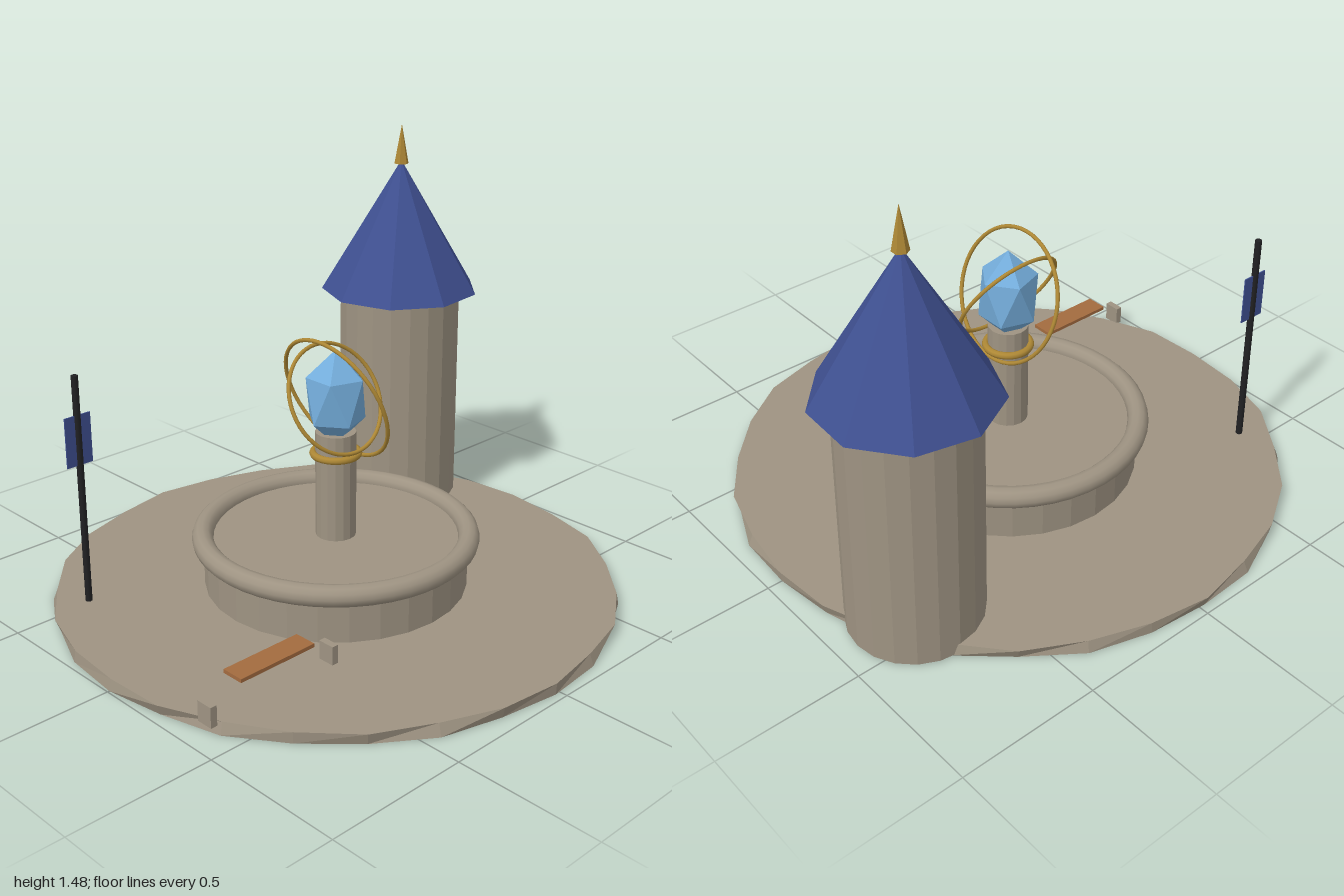
import * as THREE from 'three';

const mat = (name, color) => {
  const m = new THREE.MeshStandardMaterial({ color });
  m.name = name;
  return m;
};

// Faceted version of a geometry
function flat(geometry) {
  const g = geometry.index ? geometry.toNonIndexed() : geometry;
  g.computeVertexNormals();
  return g;
}

export function createModel() {
  const stone = mat('stone', 0x9e9382);
  const blue = mat('roofBlue', 0x3f5091);
  const crystalBlue = mat('crystalBlue', 0x74addb);
  const gold = mat('gold', 0xae8835);
  const wood = mat('wood', 0xa36b3f);
  const iron = mat('iron', 0x212123);

  const model = new THREE.Group();
  model.name = 'fountainPlaza';
  const add = (parent, name, geometry, material, x, y, z) => {
    const m = new THREE.Mesh(geometry, material);
    m.name = name;
    m.position.set(x, y, z);
    parent.add(m);
    return m;
  };
  const group = (name, x, y, z) => {
    const g = new THREE.Group();
    g.name = name;
    g.position.set(x, y, z);
    model.add(g);
    return g;
  };
  const cylinder = (r, h, n) => flat(new THREE.CylinderGeometry(r, r, h, n));

  // Plaza slab with a roughly cut rim
  const slab = new THREE.CylinderGeometry(0.98, 0.98, 0.04, 28);
  const p = slab.attributes.position;
  for (let i = 0; i < p.count; i++) {
    const x = p.getX(i), z = p.getZ(i);
    const step = Math.round(Math.atan2(z, x) / (Math.PI * 2) * 28 + 28) % 28;
    const k = 1 - 0.009 * (1 + Math.sin(step * 2.3 + (p.getY(i) > 0 ? 0 : 2.6)));
    p.setXYZ(i, x * k, p.getY(i), z * k);
  }
  add(model, 'plaza', flat(slab), stone, -0.02, 0.02, 0);

  // Fountain basin, rim and column
  const fountain = group('fountain', -0.02, 0, 0);
  add(fountain, 'basin', cylinder(0.456, 0.17, 28), stone, 0, 0.125, 0);
  add(fountain, 'basinRim', new THREE.TorusGeometry(0.459, 0.037, 12, 48), stone, 0, 0.212, 0).rotation.x = Math.PI / 2;
  add(fountain, 'column', cylinder(0.07, 0.39, 16), stone, 0, 0.395, 0);
  add(fountain, 'columnBand', new THREE.TorusGeometry(0.077, 0.013, 8, 32), gold, 0, 0.511, 0).rotation.x = Math.PI / 2;

  // Tall crystal standing on a point
  const crystal = new THREE.IcosahedronGeometry(0.113, 0);
  crystal.rotateZ(-Math.atan(2 / (1 + Math.sqrt(5))));
  crystal.scale(1, 1.5, 1);
  add(fountain, 'crystal', flat(crystal), crystalBlue, 0, 0.71, 0);

  // Two tilted rings around the crystal
  add(fountain, 'innerRing', new THREE.TorusGeometry(0.193, 0.007, 8, 48), gold, 0, 0.707, 0).rotation.x = -0.52;
  const outerRing = new THREE.TorusGeometry(0.231, 0.007, 8, 48);
  outerRing.rotateY(Math.PI / 2);
  add(fountain, 'outerRing', outerRing, gold, 0, 0.707, 0).rotation.z = 0.35;

  // Tower with a nine-sided roof
  const tower = group('tower', 0.705, 0, -0.4);
  add(tower, 'towerWall', cylinder(0.226, 0.855, 20), stone, 0, 0.4325, 0);
  const roof = new THREE.ConeGeometry(0.295, 0.49, 9, 1, false, THREE.MathUtils.degToRad(27));
  add(tower, 'roof', flat(roof), blue, 0, 1.1, 0);
  add(tower, 'finial', flat(new THREE.ConeGeometry(0.027, 0.145, 6)), gold, 0, 1.405, 0);

  // Banner pole
  const banner = group('banner', -0.74, 0, -0.46);
  add(banner, 'pole', new THREE.CylinderGeometry(0.012, 0.012, 0.85, 8), iron, 0, 0.427, 0);
  add(banner, 'flag', new THREE.BoxGeometry(0.1, 0.175, 0.004), blue, 0, 0.627, 0);

  // Bench: plank and two separate stone feet
  const bench = group('bench', -0.675, 0, 0.39);
  add(bench, 'plank', new THREE.BoxGeometry(0.295, 0.013, 0.08), wood, 0, 0.152, 0);
  for (const side of [-1, 1]) {
    add(bench, side < 0 ? 'rightFoot' : 'leftFoot', new THREE.BoxGeometry(0.024, 0.07, 0.06), stone, side * 0.246, 0.07, 0);
  }
  return model;
}
